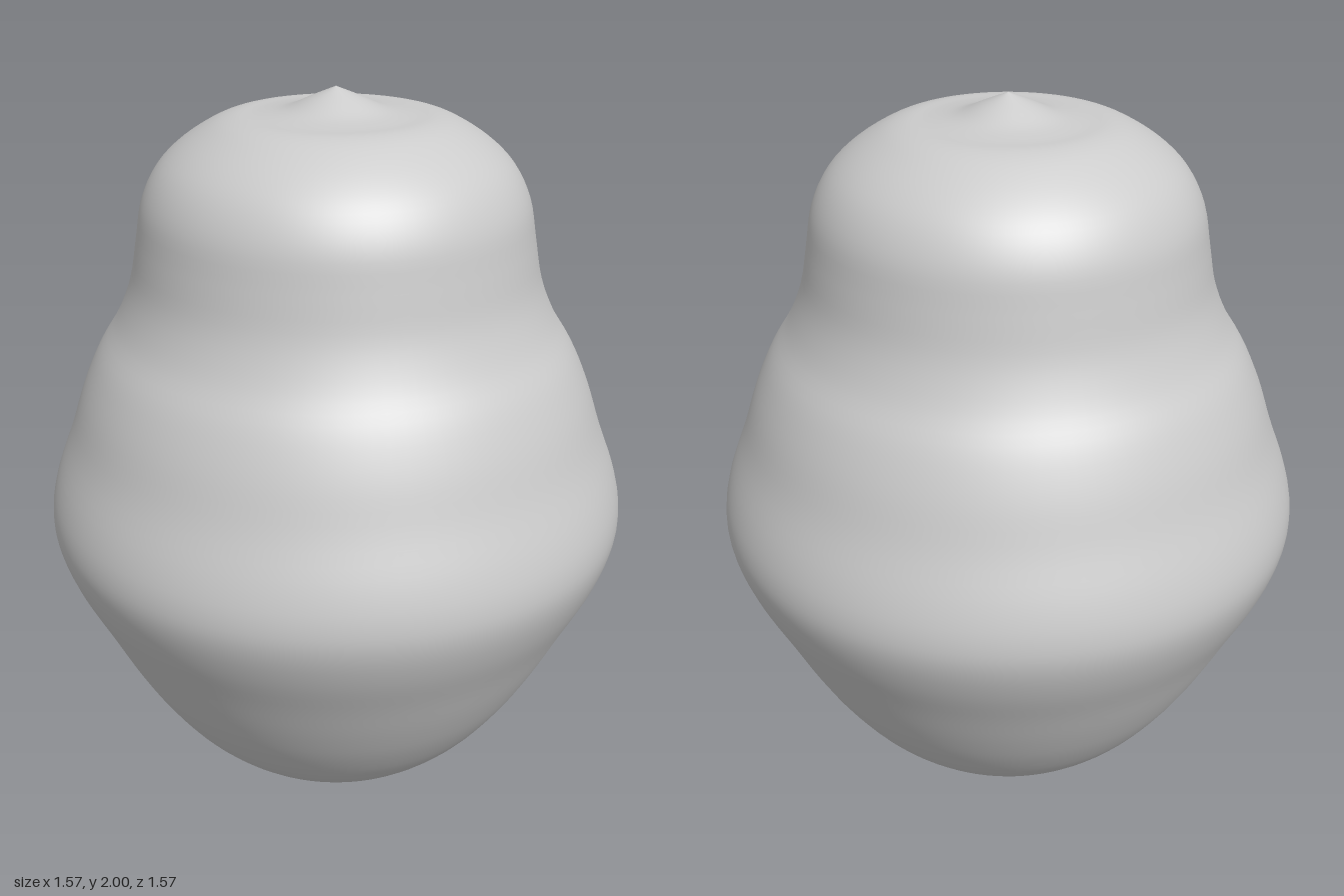
import * as THREE from 'three';

export function createModel() {
  const group = new THREE.Group();

  // Half outline as [radius, height], from the rounded base to the pointed tip
  const outline = [
    [0, 0], [0.1, 0.01], [0.22, 0.045], [0.35, 0.12], [0.46, 0.22], [0.55, 0.34],
    [0.62, 0.46], [0.685, 0.59], [0.745, 0.71], [0.78, 0.81], [0.785, 0.89],
    [0.765, 0.98], [0.72, 1.1], [0.68, 1.22], [0.635, 1.32], [0.58, 1.41],
    [0.54, 1.51], [0.519, 1.62], [0.5, 1.72], [0.46, 1.8], [0.4, 1.86],
    [0.32, 1.91], [0.26, 1.93], [0.2, 1.934], [0.13, 1.945], [0.065, 1.973], [0, 2],
  ].map(([r, y]) => new THREE.Vector2(r, y));

  // Smooth the outline and keep both ends on the axis
  const profile = new THREE.SplineCurve(outline).getPoints(104);
  profile.forEach((p) => { p.x = Math.max(p.x, 0); });

  const body = new THREE.Mesh(
    new THREE.LatheGeometry(profile, 96),
    new THREE.MeshStandardMaterial({ color: 0xcccccc }),
  );
  body.name = 'body';
  group.add(body);
  return group;
}
